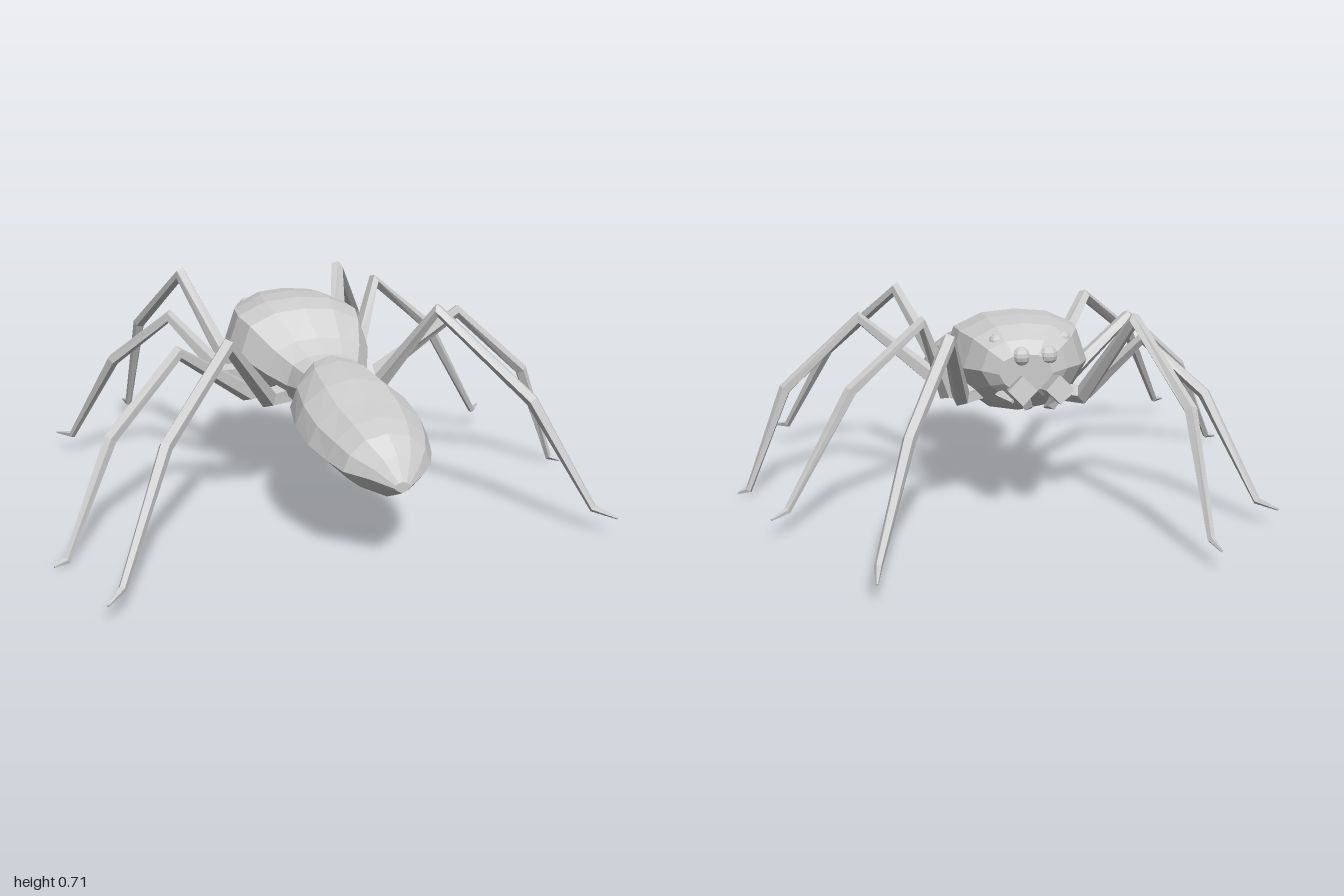
import * as THREE from 'three';

const material = new THREE.MeshStandardMaterial({ color: 0xcccccc, flatShading: true });

function addMesh(parent, name, geometry) {
  const mesh = new THREE.Mesh(geometry, material);
  mesh.name = name;
  parent.add(mesh);
  return mesh;
}

// Skin a list of rings (each counter-clockwise around the travel direction) and close both ends.
function loft(rings) {
  const n = rings[0].length, last = rings.length - 1, index = [];
  const points = rings.flat();
  const middle = (ring) => ring.reduce((s, p) => s.add(p), new THREE.Vector3()).divideScalar(n);
  points.push(middle(rings[0]), middle(rings[last]));
  const start = points.length - 2, end = points.length - 1;
  for (let j = 0; j < n; j++) {
    const k = (j + 1) % n;
    for (let i = 0; i < last; i++) {
      const a = i * n + j, b = i * n + k;
      index.push(a, b, b + n, a, b + n, a + n);
    }
    index.push(start, k, j, end, last * n + j, last * n + k);
  }
  const geometry = new THREE.BufferGeometry().setFromPoints(points);
  geometry.setIndex(index);
  geometry.computeVertexNormals();
  return geometry;
}

// Body shell: half section (u, v) mirrored, scaled by stations [z, centreX, halfWidth, top, bottom].
function body(half, stations) {
  const section = [
    ...half.map(([u, v]) => [-u, v]),
    ...half.slice(1, -1).reverse(),
  ];
  return loft(stations.map(([z, cx, w, top, bottom]) => section.map(([u, v]) =>
    new THREE.Vector3(cx + u * w, (top + bottom) / 2 + v * (top - bottom) / 2, z))));
}

// Tapered limb through a path, with mitred five-sided rings.
function limb(path, radii, sides = 5) {
  const p = path.map((a) => new THREE.Vector3(...a));
  const up = new THREE.Vector3(0, 1, 0);
  return loft(p.map((c, i) => {
    const t = new THREE.Vector3();
    if (i > 0) t.add(c.clone().sub(p[i - 1]).normalize());
    if (i < p.length - 1) t.add(p[i + 1].clone().sub(c).normalize());
    t.normalize();
    const u = t.clone().cross(up).normalize(), v = t.clone().cross(u);
    return Array.from({ length: sides }, (_, j) => {
      const a = (j / sides) * Math.PI * 2;
      return c.clone().addScaledVector(u, Math.cos(a) * radii[i]).addScaledVector(v, Math.sin(a) * radii[i]);
    });
  }));
}

export function createModel() {
  const group = new THREE.Group();
  group.name = 'spider';

  // Head and thorax, the head pointing to -z
  addMesh(group, 'thorax', body(
    [[0, 1], [0.45, 0.94], [0.84, 0.68], [1, 0], [0.8, -0.5], [0.42, -0.9], [0, -1]],
    [
      [-0.30, -0.025, 0.09, 0.57, 0.44],
      [-0.27, -0.025, 0.145, 0.615, 0.41],
      [-0.20, -0.03, 0.20, 0.655, 0.36],
      [-0.10, -0.03, 0.24, 0.668, 0.33],
      [0.00, -0.03, 0.25, 0.668, 0.325],
      [0.08, -0.025, 0.228, 0.645, 0.335],
      [0.16, 0, 0.175, 0.56, 0.325],
      [0.22, 0.01, 0.135, 0.52, 0.32],
      [0.29, 0.01, 0.11, 0.50, 0.35],
    ]));

  // Abdomen, drooping and drifting slightly to one side
  addMesh(group, 'abdomen', body(
    [[0, 1], [0.5, 0.84], [0.86, 0.42], [1, -0.08], [0.62, -0.6], [0, -1]],
    [
      [0.24, 0.01, 0.09, 0.50, 0.36],
      [0.29, 0.01, 0.12, 0.535, 0.30],
      [0.36, 0.015, 0.165, 0.535, 0.265],
      [0.50, 0.025, 0.195, 0.515, 0.25],
      [0.62, 0.035, 0.195, 0.48, 0.235],
      [0.72, 0.04, 0.168, 0.455, 0.22],
      [0.79, 0.042, 0.14, 0.425, 0.222],
      [0.84, 0.055, 0.085, 0.37, 0.245],
      [0.88, 0.06, 0.025, 0.30, 0.265],
    ]));

  // Legs: coxa, hip, knee, shin, ankle, toe
  const legs = {
    rightFrontLeg: [[-0.12, 0.41, -0.10], [-0.24, 0.40, -0.19], [-0.37, 0.69, -0.37], [-0.49, 0.45, -0.63], [-0.52, 0.08, -0.80], [-0.53, 0.07, -0.88]],
    rightSecondLeg: [[-0.13, 0.40, -0.02], [-0.28, 0.39, -0.08], [-0.45, 0.585, -0.17], [-0.64, 0.41, -0.28], [-0.78, 0.08, -0.46], [-0.83, 0.07, -0.53]],
    rightThirdLeg: [[-0.09, 0.38, 0.05], [-0.24, 0.38, 0.13], [-0.50, 0.575, 0.27], [-0.745, 0.35, 0.41], [-0.91, 0.02, 0.555], [-0.95, 0.01, 0.57]],
    rightBackLeg: [[-0.06, 0.37, 0.12], [-0.19, 0.38, 0.22], [-0.37, 0.63, 0.43], [-0.62, 0.42, 0.72], [-0.79, 0.08, 0.93], [-0.84, 0.065, 0.995]],
    leftFrontLeg: [[0.07, 0.42, -0.10], [0.18, 0.41, -0.20], [0.25, 0.66, -0.47], [0.40, 0.42, -0.73], [0.51, 0.09, -0.90], [0.52, 0.07, -0.99]],
    leftSecondLeg: [[0.08, 0.41, -0.03], [0.22, 0.41, -0.11], [0.31, 0.665, -0.19], [0.55, 0.46, -0.265], [0.77, 0.085, -0.34], [0.82, 0.08, -0.41]],
    leftThirdLeg: [[0.08, 0.39, 0.04], [0.23, 0.40, 0.085], [0.50, 0.62, 0.155], [0.765, 0.38, 0.12], [0.905, 0.025, 0.09], [0.945, 0.01, 0.10]],
    leftBackLeg: [[0.06, 0.36, 0.11], [0.18, 0.37, 0.21], [0.35, 0.685, 0.37], [0.60, 0.42, 0.59], [0.765, 0.085, 0.735], [0.82, 0.07, 0.80]],
  };
  for (const [name, path] of Object.entries(legs)) {
    addMesh(group, name, limb(path, [0.04, 0.034, 0.024, 0.022, 0.013, 0.004]));
  }

  // Four bulging eyes
  const eyes = [[-0.165, 0.60, -0.20, 0.027], [-0.10, 0.56, -0.275, 0.034], [-0.01, 0.56, -0.28, 0.034], [0.065, 0.60, -0.23, 0.027]];
  for (const [x, y, z, r] of eyes) {
    addMesh(group, 'eye', new THREE.SphereGeometry(r, 12, 8)).position.set(x, y, z);
  }

  // Jaws with inward fangs, mirrored about the head's centre line
  for (const side of [-1, 1]) {
    const x = (d) => -0.06 + side * d;
    addMesh(group, 'jaw', limb(
      [[x(0.045), 0.45, -0.24], [x(0.055), 0.455, -0.31], [x(0.062), 0.47, -0.395]],
      [0.04, 0.045, 0.048], 4));
    addMesh(group, 'fang', limb(
      [[x(0.055), 0.45, -0.36], [x(0.04), 0.41, -0.35], [x(0.022), 0.395, -0.32]],
      [0.026, 0.02, 0.004], 4));
    // Short feeler beside each jaw
    addMesh(group, 'feeler', limb(
      [[x(0.10), 0.43, -0.2], [x(0.115), 0.43, -0.27], [x(0.085), 0.42, -0.33]],
      [0.022, 0.02, 0.008], 4));
  }
  return group;
}
